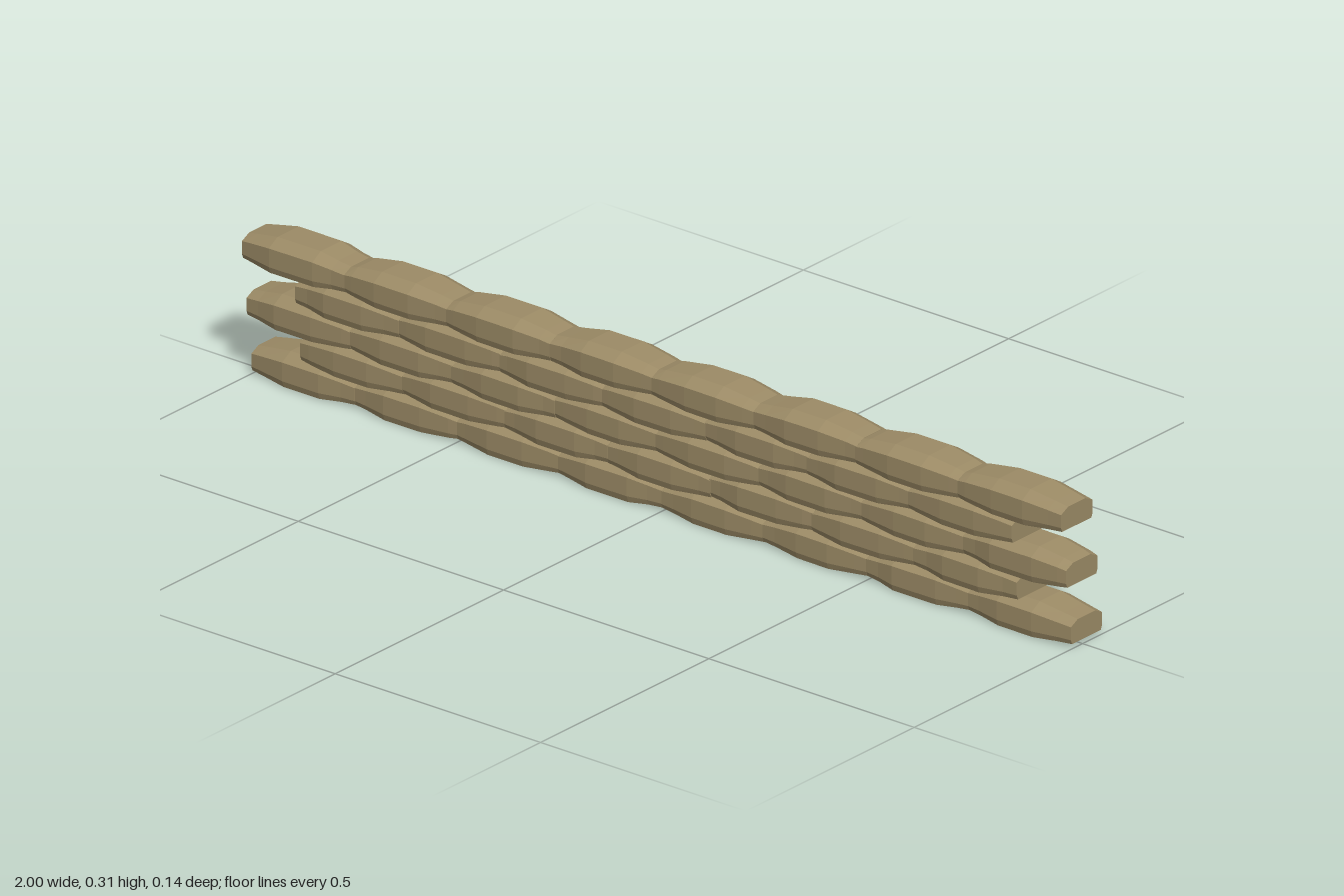
import * as THREE from 'three';

// Half-outline of a bag in (z, y), mirrored into an eight-point loop
const half = [[0.92, -1], [1, -0.6], [1, 0.55], [0.55, 1]];
const section = [...half, ...half.slice().reverse().map(([z, y]) => [-z, y])];

// Stations along a bag: [x, half depth, bottom, top] relative to its centre
const stations = [
  [-0.126, 0.047, -0.026, 0.020],
  [-0.100, 0.050, -0.028, 0.025],
  [-0.045, 0.057, -0.033, 0.034],
  [0.045, 0.057, -0.033, 0.034],
  [0.100, 0.050, -0.028, 0.025],
  [0.126, 0.047, -0.026, 0.020],
];

function seeded(seed) {
  return () => {
    seed = (seed * 16807) % 2147483647;
    return seed / 2147483647 - 0.5;
  };
}

function bagGeometry(rand) {
  const n = section.length, positions = [], index = [];
  stations.forEach(([x, depth, low, high], i) => {
    const inner = i > 0 && i < stations.length - 1;
    const shift = inner ? rand() * 0.016 : 0;
    const swell = 1 + rand() * 0.03;
    for (const [z, y] of section) {
      positions.push(x + shift, (low + high) / 2 + y * (high - low) / 2, z * depth * swell);
    }
  });
  for (let i = 0; i < stations.length - 1; i++) {
    for (let j = 0; j < n; j++) {
      const k = (j + 1) % n;
      const a = i * n + j, b = (i + 1) * n + j, c = (i + 1) * n + k, d = i * n + k;
      index.push(a, b, c, a, c, d);
    }
  }
  // Flat end caps
  const last = (stations.length - 1) * n;
  for (let j = 1; j < n - 1; j++) {
    index.push(0, j, j + 1, last, last + j + 1, last + j);
  }
  const g = new THREE.BufferGeometry();
  g.setAttribute('position', new THREE.Float32BufferAttribute(positions, 3));
  g.setIndex(index);
  const flat = g.toNonIndexed();
  flat.computeVertexNormals();
  return flat;
}

export function createModel() {
  const wall = new THREE.Group();
  wall.name = 'sandbagWall';
  const burlap = new THREE.MeshStandardMaterial({ color: 0x9c8b66, flatShading: true });
  burlap.name = 'burlap';
  const rand = seeded(4711);

  // Five courses in running bond, leaning slightly forward
  for (let row = 0; row < 5; row++) {
    const course = new THREE.Group();
    course.name = `course${row + 1}`;
    course.position.set(0, 0.036 + row * 0.0605, -0.0145 + row * 0.00725);
    const count = row % 2 ? 7 : 8;
    for (let i = 0; i < count; i++) {
      const bag = new THREE.Mesh(bagGeometry(rand), burlap);
      bag.name = 'sandbag';
      bag.position.set((i - (count - 1) / 2) * 0.249, rand() * 0.002, rand() * 0.002);
      course.add(bag);
    }
    wall.add(course);
  }
  return wall;
}
